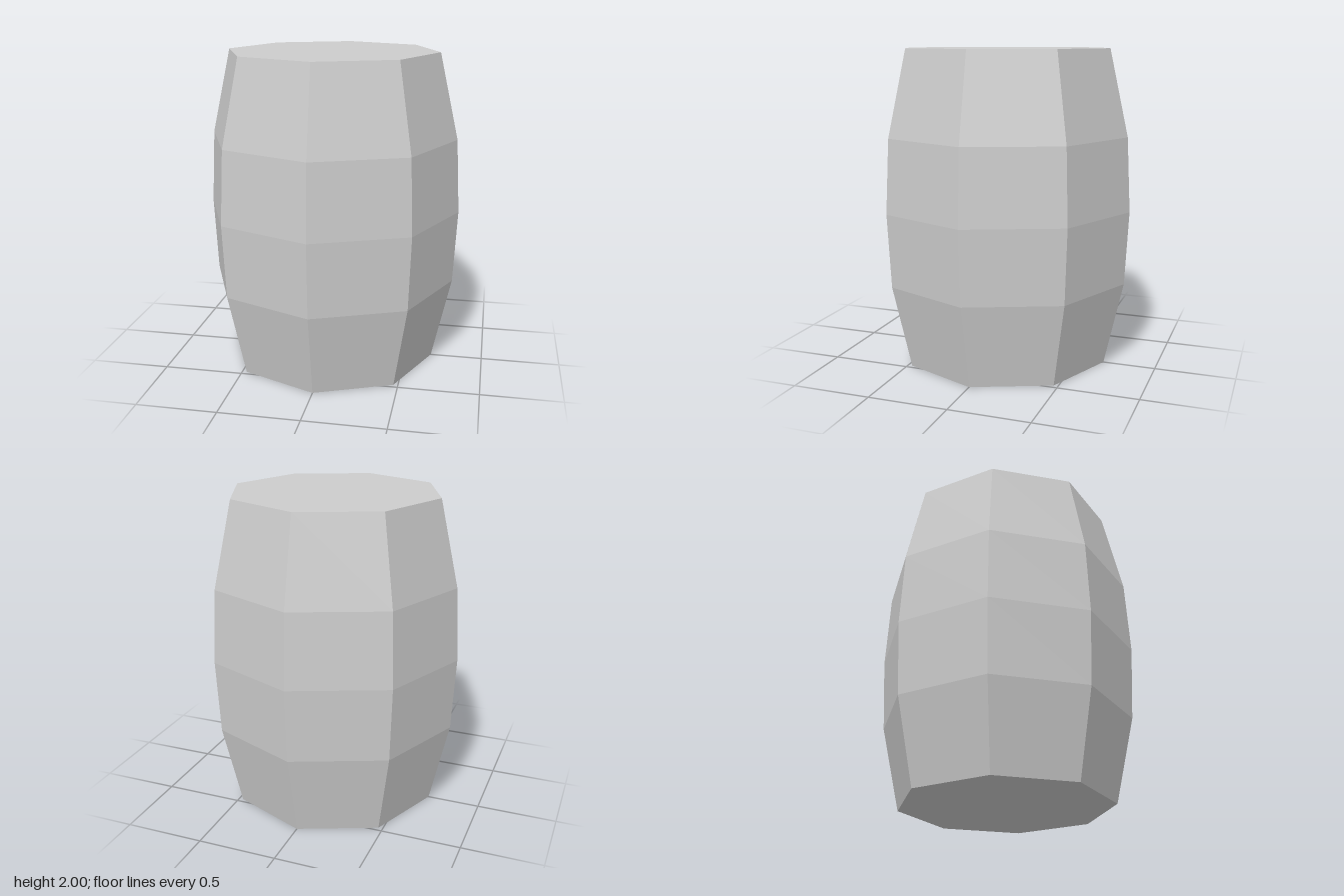
import * as THREE from 'three';

const SIDES = 8;

export function createModel() {
  const barrel = new THREE.Group();
  barrel.name = 'barrel';

  const grey = new THREE.MeshStandardMaterial({ color: 0xcccccc, flatShading: true });
  grey.name = 'light grey';

  const add = (name, geometry) => {
    const mesh = new THREE.Mesh(geometry, grey);
    mesh.name = name;
    barrel.add(mesh);
    return mesh;
  };

  // Bulging eight-sided wall, from the bottom rim to the top rim
  const profile = [[0.667, 0], [0.787, 0.535], [0.811, 1], [0.787, 1.465], [0.667, 2]]
    .map(([r, y]) => new THREE.Vector2(r, y));
  add('staves', new THREE.LatheGeometry(profile, SIDES));

  // Flat ends flush with the rims
  const lid = add('lid', new THREE.CircleGeometry(0.667, SIDES));
  lid.rotation.x = -Math.PI / 2;
  lid.position.y = 2;
  const base = add('base', new THREE.CircleGeometry(0.667, SIDES));
  base.rotation.x = Math.PI / 2;

  return barrel;
}
